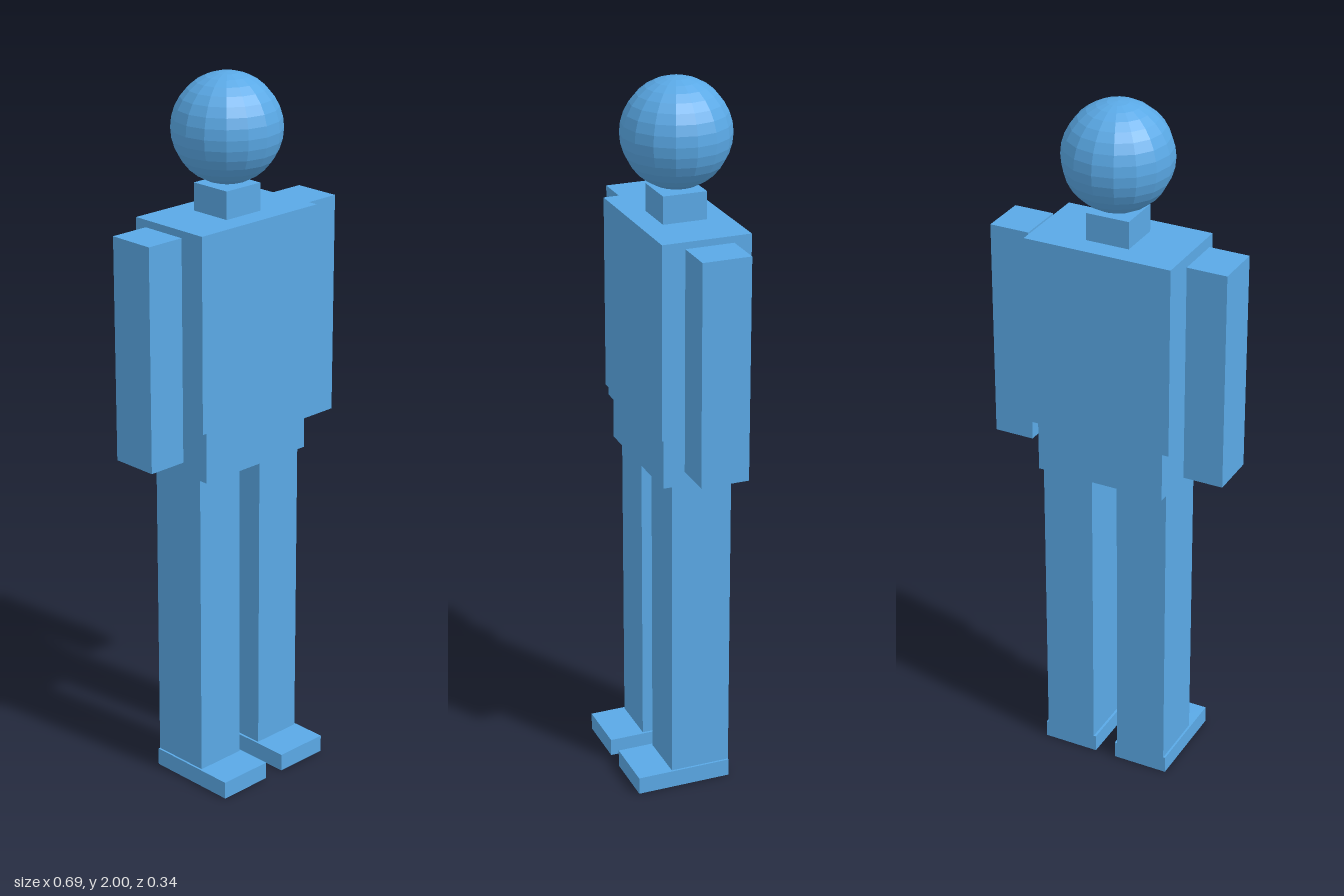
import * as THREE from 'three';

export function createModel() {
  const model = new THREE.Group();
  const material = new THREE.MeshStandardMaterial({ color: 0x5aa9e6, flatShading: true });

  // Box given by its min/max extents on each axis
  function box(name, [x0, x1], [y0, y1], [z0, z1]) {
    const mesh = new THREE.Mesh(new THREE.BoxGeometry(x1 - x0, y1 - y0, z1 - z0), material);
    mesh.position.set((x0 + x1) / 2, (y0 + y1) / 2, (z0 + z1) / 2);
    mesh.name = name;
    model.add(mesh);
  }

  // Head
  const head = new THREE.Mesh(new THREE.SphereGeometry(0.149, 16, 16), material);
  head.position.set(0, 1.851, -0.02);
  head.name = 'head';
  model.add(head);

  // Neck, torso and hips
  box('neck', [-0.062, 0.062], [1.625, 1.702], [-0.082, 0.042]);
  box('torso', [-0.212, 0.212], [1.08, 1.625], [-0.145, 0.105]);
  box('hips', [-0.187, 0.187], [0.93, 1.08], [-0.132, 0.092]);

  // Limbs, mirrored left and right
  for (const [side, s] of [['left', 1], ['right', -1]]) {
    const span = (a, b) => (s > 0 ? [a, b] : [-b, -a]);
    box(side + 'Arm', span(0.23, 0.344), [0.99, 1.613], [-0.088, 0.048]);
    box(side + 'Leg', span(0.038, 0.187), [0.05, 0.93], [-0.105, 0.067]);
    box(side + 'Foot', span(0.031, 0.193), [0, 0.05], [-0.105, 0.168]);
  }
  return model;
}
